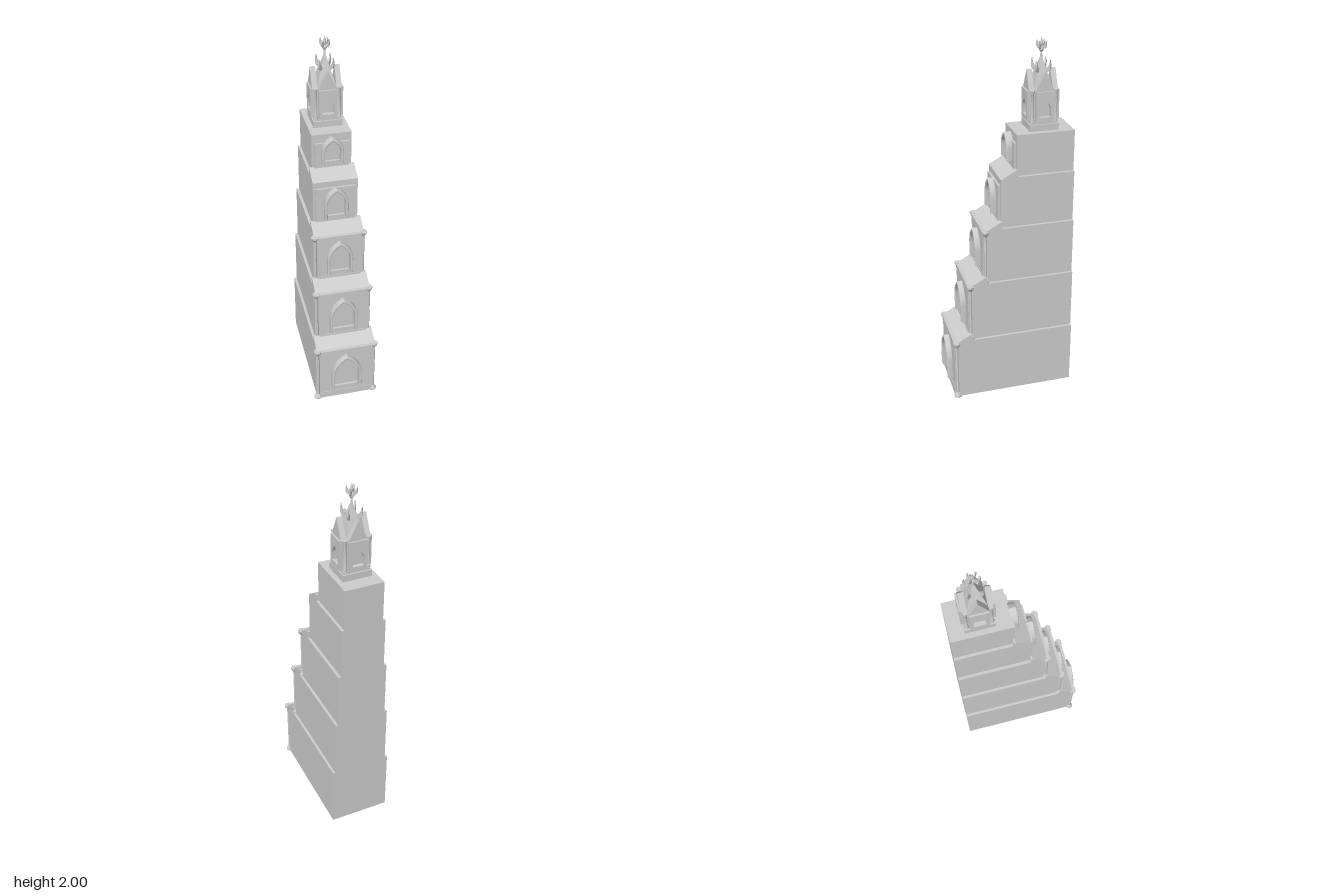
import * as THREE from 'three';
import { toCreasedNormals } from 'three/addons/utils/BufferGeometryUtils.js';

const BACK = -0.36;
const stone = new THREE.MeshStandardMaterial({ color: 0xcccccc });
stone.name = 'stone grey';

function add(parent, name, geometry, x = 0, y = 0, z = 0) {
  const mesh = new THREE.Mesh(toCreasedNormals(geometry, 0.35), stone);
  mesh.name = name;
  mesh.position.set(x, y, z);
  parent.add(mesh);
  return mesh;
}

// Box given by its lower and upper limits
function block(parent, name, x0, x1, y0, y1, z0, z1) {
  return add(parent, name, new THREE.BoxGeometry(x1 - x0, y1 - y0, z1 - z0),
    (x0 + x1) / 2, (y0 + y1) / 2, (z0 + z1) / 2);
}

function polygon(points) {
  return new THREE.Shape(points.map(([x, y]) => new THREE.Vector2(x, y)));
}

// Pointed gothic arch outline
function arch(path, w, y0, y1) {
  const spring = y0 + (y1 - y0) * 0.45;
  const pull = spring + (y1 - spring) * 0.6;
  path.moveTo(-w, y0);
  path.lineTo(w, y0);
  path.lineTo(w, spring);
  path.quadraticCurveTo(w * 0.95, pull, 0, y1);
  path.quadraticCurveTo(-w * 0.95, pull, -w, spring);
  path.lineTo(-w, y0);
  return path;
}

// Raised arch moulding, open at the foot, with a rounded front edge
function archFrame(parent, w, y0, y1, z, depth, band) {
  const spring = y0 + (y1 - y0) * 0.45;
  const pull = spring + (y1 - spring) * 0.6;
  const b = band * 0.35;
  const o = w - b, i = w - band + b;
  const topO = y1 - b * 1.5, topI = y1 - band * 1.35 + b;
  const s = new THREE.Shape();
  s.moveTo(o, y0);
  s.lineTo(o, spring);
  s.quadraticCurveTo(o * 0.95, pull, 0, topO);
  s.quadraticCurveTo(-o * 0.95, pull, -o, spring);
  s.lineTo(-o, y0);
  s.lineTo(-i, y0);
  s.lineTo(-i, spring);
  s.quadraticCurveTo(-i * 0.95, pull - band * 0.5, 0, topI);
  s.quadraticCurveTo(i * 0.95, pull - band * 0.5, i, spring);
  s.lineTo(i, y0);
  const g = new THREE.ExtrudeGeometry(s, {
    depth: depth - 2 * b, bevelThickness: b, bevelSize: b, bevelSegments: 2, curveSegments: 8,
  });
  add(parent, 'archFrame', g, 0, 0, z + b);
}

// Panel pierced by a pointed niche
function nichePanel(parent, name, w, y0, y1, nicheW, n0, n1, z, depth) {
  const s = polygon([[-w, y0], [w, y0], [w, y1], [-w, y1]]);
  s.holes.push(arch(new THREE.Path(), nicheW, n0, n1));
  add(parent, name, new THREE.ExtrudeGeometry(s, { depth, bevelEnabled: false, curveSegments: 8 }), 0, 0, z);
}

// Slim faceted shaft with flared foot and cap
function column(parent, name, r, R, h, sides, x, y, z) {
  const f = R * 0.4, t = R * 1.3;
  const pts = [[0, 0], [R, 0], [R, f], [r, t], [r, h - t], [R, h - f], [R, h], [0, h]]
    .map(([a, b]) => new THREE.Vector2(a, b));
  const m = add(parent, name, new THREE.LatheGeometry(pts, sides), x, y, z);
  m.rotation.y = Math.PI / sides;
}

// Four upturned leaf horns set on the diagonals
function horns(parent, name, radius, y, reach, height, thick) {
  const s = new THREE.Shape();
  s.moveTo(-reach * 0.2, 0);
  s.quadraticCurveTo(reach * 1.5, height * 0.05, reach * 0.85, height);
  s.quadraticCurveTo(reach * 0.65, height * 0.45, -reach * 0.2, height * 0.35);
  const g = new THREE.ExtrudeGeometry(s, { depth: thick, bevelEnabled: false, curveSegments: 6 });
  g.translate(radius, 0, -thick / 2);
  for (let k = 0; k < 4; k++) {
    add(parent, name, g, 0, y, 0).rotation.y = Math.PI / 4 + k * Math.PI / 2;
  }
}

// Stepped tiers, largest at the bottom
const tiers = [
  { w: 0.168, y0: 0, y1: 0.365, z: 0.313, next: 0.226, win: [0.085, 0.078, 0.32] },
  { w: 0.153, y0: 0.365, y1: 0.705, z: 0.226, next: 0.135, win: [0.078, 0.44, 0.66] },
  { w: 0.138, y0: 0.705, y1: 1.018, z: 0.135, next: 0.045, win: [0.071, 0.78, 0.98] },
  { w: 0.122, y0: 1.018, y1: 1.3, z: 0.045, next: -0.045, win: [0.065, 1.085, 1.265], panel: [0.109, 1.05, 1.257] },
  { w: 0.107, y0: 1.3, y1: 1.525, z: -0.045, win: [0.058, 1.37, 1.515], panel: [0.093, 1.325, 1.478] },
];

function buildTier(t, i) {
  const g = new THREE.Group();
  g.name = 'tier' + (i + 1);
  // Body with a sloping ledge in front of the tier above
  const profile = t.next === undefined
    ? [[BACK, t.y0], [t.z, t.y0], [t.z, t.y1], [BACK, t.y1]]
    : [[BACK, t.y0], [t.z, t.y0], [t.z, t.y1 - 0.008], [t.next + 0.008, t.y1 + 0.037],
      [t.next - 0.004, t.y1 + 0.037], [t.next - 0.004, t.y1], [BACK, t.y1]];
  const body = new THREE.ExtrudeGeometry(polygon(profile), { depth: 2 * t.w, bevelEnabled: false });
  body.rotateY(-Math.PI / 2).translate(t.w, 0, 0);
  add(g, 'body', body);

  const [ww, w0, w1] = t.win;
  const [pw, p0, p1] = t.panel || [t.w - 0.014, t.y0 + 0.004, t.y1 - 0.012];
  const nicheTop = Math.min(w1 - 0.014, p1 - 0.004);
  nichePanel(g, 'frontPanel', pw, p0, p1, ww - 0.01, w0, nicheTop, t.z, 0.012);
  archFrame(g, ww, w0, w1, t.z, 0.042, 0.015);

  if (!t.panel) {
    // Corner posts and the rails between them
    for (const side of [-1, 1]) {
      column(g, 'cornerPost', 0.009, 0.022, t.y1 - t.y0 - 0.006, 6, side * (t.w - 0.005), t.y0, t.z);
    }
    const rw = t.w - 0.02;
    block(g, 'topRail', -rw, rw, t.y1 - 0.036, t.y1 - 0.009, t.z, t.z + 0.015);
    block(g, 'bottomRail', -rw, rw, t.y0 + 0.003, t.y0 + 0.045, t.z, t.z + 0.015);
  }
  return g;
}

function buildTurret() {
  const g = new THREE.Group();
  g.name = 'turret';
  block(g, 'plinth', -0.078, 0.078, 1.52, 1.56, -0.078, 0.078);
  block(g, 'plinthStep', -0.07, 0.07, 1.56, 1.575, -0.07, 0.07);
  block(g, 'turretBody', -0.064, 0.064, 1.57, 1.735, -0.064, 0.064);

  // Four identical faces with a niche and a gable
  for (let k = 0; k < 4; k++) {
    const face = new THREE.Group();
    face.name = 'turretFace';
    face.rotation.y = k * Math.PI / 2;
    nichePanel(face, 'nichePanel', 0.049, 1.575, 1.735, 0.031, 1.6, 1.685, 0.064, 0.023);
    const gable = polygon([[-0.052, 1.733], [0.052, 1.733], [0, 1.838]]);
    add(face, 'gable', new THREE.ExtrudeGeometry(gable, { depth: 0.028, bevelEnabled: false }), 0, 0, 0.05);
    g.add(face);
  }
  for (const x of [-0.063, 0.063]) {
    for (const z of [-0.063, 0.063]) column(g, 'cornerColumn', 0.008, 0.012, 0.17, 8, x, 1.57, z);
  }

  // Spire with leaf horns and finial
  const spire = new THREE.ConeGeometry(0.052 * Math.SQRT2, 0.18, 4);
  add(g, 'spire', spire, 0, 1.823, 0).rotation.y = Math.PI / 4;
  horns(g, 'spireHorn', 0.034, 1.82, 0.022, 0.066, 0.009);
  const stem = [[0, 1.89], [0.006, 1.89], [0.005, 1.922], [0.013, 1.932], [0.013, 1.94],
    [0.006, 1.952], [0.009, 1.968], [0, 2]].map(([r, y]) => new THREE.Vector2(r, y));
  add(g, 'finial', new THREE.LatheGeometry(stem, 8));
  horns(g, 'finialLeaf', 0.006, 1.935, 0.024, 0.046, 0.007);
  g.position.z = -0.202;
  return g;
}

export function createModel() {
  const model = new THREE.Group();
  model.name = 'steppedTower';
  tiers.forEach((t, i) => model.add(buildTier(t, i)));
  model.add(buildTurret());
  return model;
}
